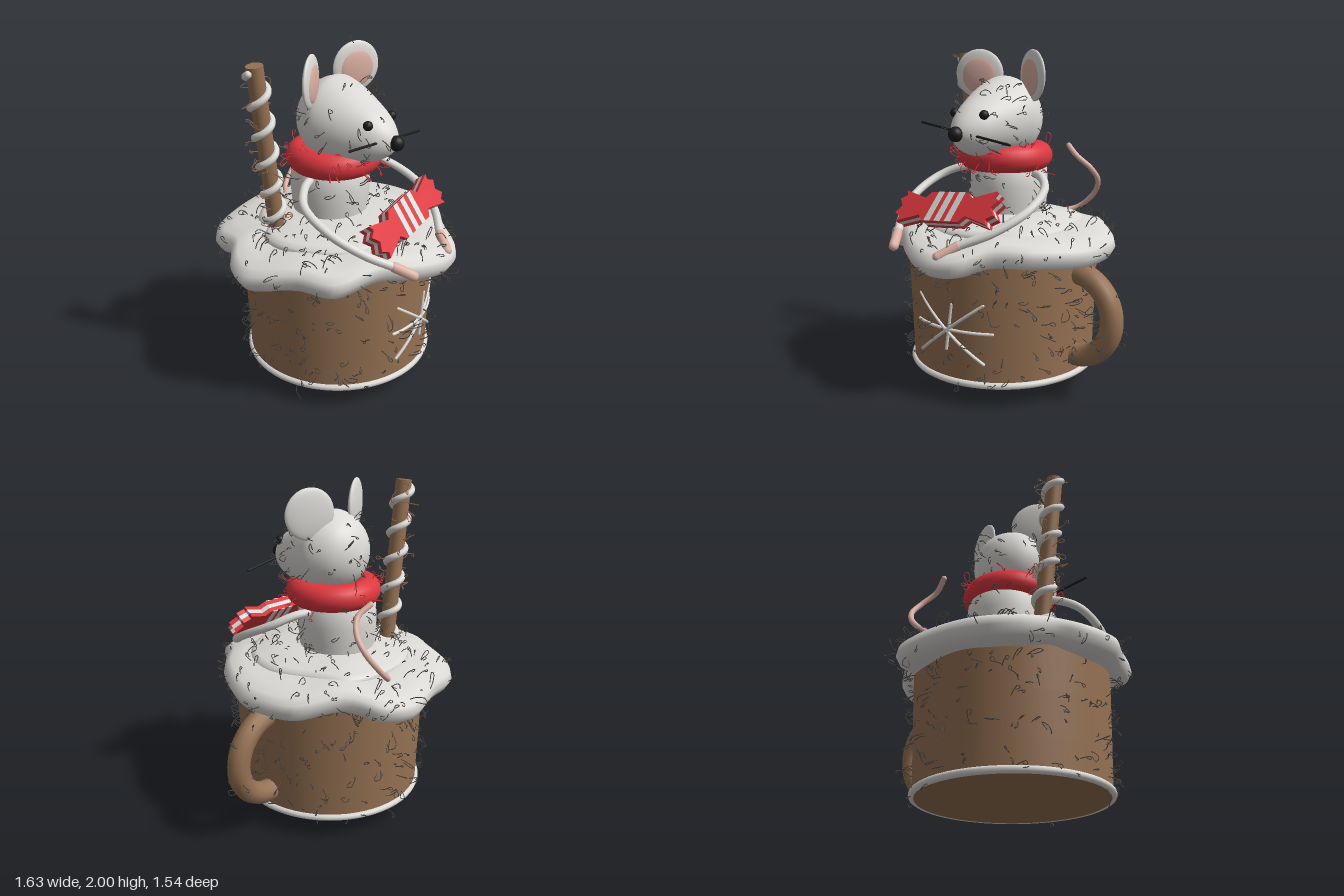
import * as THREE from 'three';
import { mergeGeometries } from 'three/addons/utils/BufferGeometryUtils.js';

const paint = (name, color) => {
  const m = new THREE.MeshStandardMaterial({ color });
  m.name = name;
  return m;
};
const V = (x, y, z) => new THREE.Vector3(x, y, z);
const CX = -0.1; // axis of the cup and the mouse

export function createModel() {
  const white = paint('wool white', 0xdcdad6);
  const brown = paint('cocoa brown', 0x967253);
  const red = paint('red', 0xdd383f);
  const pink = paint('pink', 0xdcb0a2);
  const black = paint('black', 0x1b1b1b);
  const fuzz = paint('fuzz grey', 0x4c4844);

  const root = new THREE.Group();
  root.name = 'mouseInCup';
  const add = (name, geo, mat, x = 0, y = 0, z = 0, parent = root) => {
    const m = new THREE.Mesh(geo, mat);
    m.name = name;
    m.position.set(x, y, z);
    parent.add(m);
    return m;
  };
  // tube with rounded ends through a few points
  const tube = (pts, r, seg = 40) => {
    const curve = new THREE.CatmullRomCurve3(pts.map(p => (p.isVector3 ? p : V(...p))));
    const caps = [0, 1].map(t => {
      const p = curve.getPoint(t);
      return new THREE.SphereGeometry(r, 12, 8).translate(p.x, p.y, p.z);
    });
    return mergeGeometries([new THREE.TubeGeometry(curve, seg, r, 12), ...caps]);
  };
  // wavy layer: an outline in x,z swept through [scale, y] sections, drooping where it bulges
  const layer = (outline, sections, droop) => {
    const N = 120, pos = [], idx = [];
    const ring = new THREE.CatmullRomCurve3(outline.map(([x, z]) => V(x - CX, 0, z)), true).getPoints(N).slice(0, N);
    for (const [s, y] of sections)
      for (const p of ring) pos.push(CX + p.x * s, y - droop * s * s * (p.length() - 0.68), p.z * s);
    for (let j = 0; j < sections.length - 1; j++)
      for (let i = 0; i < N; i++) {
        const a = j * N + i, b = j * N + (i + 1) % N;
        idx.push(a, a + N, b, b, a + N, b + N);
      }
    const g = new THREE.BufferGeometry();
    g.setAttribute('position', new THREE.Float32BufferAttribute(pos, 3));
    g.setIndex(idx);
    g.computeVertexNormals();
    return g;
  };

  // cup
  const cupProfile = [[0, 0.115], [0.545, 0.115], [0.545, 0.115], [0.55, 0.3], [0.558, 0.55], [0.567, 0.86]];
  const cup = add('cup', new THREE.LatheGeometry(cupProfile.map(p => new THREE.Vector2(...p)), 64), brown, CX);
  add('baseRing', new THREE.TorusGeometry(0.545, 0.02, 10, 64).rotateX(Math.PI / 2), white, CX, 0.132);
  const handlePts = [];
  for (let i = 0; i <= 12; i++) {
    const a = -Math.PI / 2 + Math.PI * i / 12;
    handlePts.push([0.44 + 0.25 * Math.cos(a), 0.49 + 0.245 * Math.sin(a), 0]);
  }
  const handle = add('handle', tube(handlePts, 0.065), brown);

  // snowflake stitches following the cup wall
  const stitches = [[-0.256, 0.6, 0.177, 0.26], [-0.256, 0.26, 0.177, 0.6], [-0.28, 0.437, 0.22, 0.437], [0, 0.587, -0.04, 0.32]];
  for (const [x0, y0, x1, y1] of stitches) {
    const pts = [];
    for (let i = 0; i <= 8; i++) {
      const x = x0 + (x1 - x0) * i / 8, y = y0 + (y1 - y0) * i / 8;
      pts.push([x, y, Math.sqrt(0.557 ** 2 - (x - CX) ** 2)]);
    }
    add('snowflakeStitch', tube(pts, 0.009, 16), white);
  }

  // cream
  const creamLow = add('lowerCream', layer(
    [[0.04, -0.72], [0.2, -0.64], [0.32, -0.456], [0.525, -0.27], [0.58, -0.09], [0.57, 0.11], [0.43, 0.365],
      [0.25, 0.525], [0.137, 0.67], [-0.02, 0.717], [-0.23, 0.66], [-0.43, 0.525], [-0.66, 0.4], [-0.73, 0.205],
      [-0.835, -0.07], [-0.775, -0.23], [-0.66, -0.34], [-0.59, -0.525], [-0.456, -0.64], [-0.205, -0.685]],
    [[0.7, 0.8], [0.88, 0.785], [0.96, 0.8], [1, 0.85], [0.985, 0.895], [0.93, 0.925], [0.82, 0.945], [0.6, 0.965], [0, 0.97]], 0.6), white);
  const creamTop = add('upperCream', layer(
    [[0.365, 0.07], [0.3, 0.27], [0.12, 0.42], [-0.12, 0.47], [-0.35, 0.4], [-0.53, 0.22], [-0.6, 0], [-0.56, -0.17],
      [-0.46, -0.24], [-0.4, -0.36], [-0.24, -0.45], [0, -0.46], [0.22, -0.38], [0.3, -0.18]],
    [[0.97, 0.92], [1, 0.945], [0.98, 0.97], [0.92, 0.988], [0.75, 1.0], [0.6, 1.025], [0, 1.03]], 0), white);

  // body and scarf
  const bodyProfile = [[0.215, 0.98], [0.225, 1.08], [0.232, 1.18], [0.225, 1.27], [0.18, 1.36], [0, 1.4]];
  const body = add('body', new THREE.LatheGeometry(bodyProfile.map(p => new THREE.Vector2(...p)), 40), white, CX, 0, -0.055);
  const scarf = add('scarf', new THREE.TorusGeometry(0.196, 0.08, 20, 48).rotateX(Math.PI / 2), red, CX, 1.348, -0.025);

  // head: teardrop along z with the snout sinking toward the tip
  const headProfile = new THREE.SplineCurve([[0, -0.228], [0.1, -0.205], [0.185, -0.14], [0.235, -0.04], [0.235, 0.03],
    [0.207, 0.13], [0.165, 0.23], [0.128, 0.3], [0.08, 0.355], [0.035, 0.384], [0, 0.39]].map(p => new THREE.Vector2(...p)));
  const headPts = headProfile.getPoints(40).map(p => new THREE.Vector2(Math.max(0, p.x), p.y));
  const headGeo = new THREE.LatheGeometry(headPts, 40).rotateX(Math.PI / 2);
  const hp = headGeo.attributes.position;
  for (let i = 0; i < hp.count; i++) hp.setY(i, hp.getY(i) - 0.18 * Math.max(0, hp.getZ(i)));
  const head = add('head', headGeo, white, CX, 1.57, 0);
  add('nose', new THREE.SphereGeometry(0.043, 20, 14), black, CX, 1.503, 0.395);
  add('whiskers', tube([[-0.435, 1.545, 0.33], [0.235, 1.465, 0.33]], 0.007, 2), black);
  for (const s of [-1, 1]) {
    add('eye', new THREE.SphereGeometry(0.027, 16, 12), black, CX + s * 0.112, 1.608, 0.285);
    const ear = new THREE.Group();
    ear.name = 'ear';
    ear.position.set(CX + s * 0.203, 1.815, -0.022);
    ear.rotation.y = -s * 0.42;
    add('earShell', new THREE.SphereGeometry(1, 28, 18).scale(0.148, 0.145, 0.026), white, 0, 0, 0, ear);
    add('innerEar', new THREE.SphereGeometry(1, 28, 18).scale(0.108, 0.108, 0.021), pink, 0, -0.008, 0.012, ear);
    root.add(ear);
  }

  // arms and paws
  const arms = [
    [[-0.28, 1.26, -0.04], [-0.42, 1.25, 0.015], [-0.525, 1.2, 0.1], [-0.55, 1.11, 0.28], [-0.48, 1.01, 0.46], [-0.385, 0.94, 0.585], [-0.325, 0.888, 0.67]],
    [[0.08, 1.26, -0.04], [0.2, 1.25, 0.015], [0.29, 1.2, 0.1], [0.32, 1.11, 0.28], [0.23, 1.01, 0.46], [0.09, 0.94, 0.585], [0.025, 0.888, 0.67]]];
  for (const a of arms) {
    add('arm', tube(a.slice(0, 6), 0.024), white);
    add('paw', tube(a.slice(5), 0.028, 4), pink);
  }

  // tail
  add('tail', tube([[-0.02, 0.95, -0.47], [0.06, 0.975, -0.54], [0.17, 1.07, -0.555], [0.23, 1.17, -0.51],
    [0.22, 1.25, -0.445], [0.15, 1.325, -0.395], [0.07, 1.38, -0.42]], 0.016), pink);

  // wrapped candy: red, white and red layers with diagonal stripes
  const candy = new THREE.Group();
  candy.name = 'candy';
  candy.position.set(CX, 1.09, 0.46);
  candy.rotation.set(-0.68, 0, 0.13);
  const half = [[0.13, -0.092], [0.165, -0.055], [0.325, -0.1], [0.31, -0.07], [0.355, -0.045], [0.32, 0],
    [0.355, 0.045], [0.31, 0.07], [0.325, 0.1], [0.165, 0.055], [0.13, 0.092]];
  const flat = pts => new THREE.Shape(pts.map(p => new THREE.Vector2(...p)));
  const candyShape = flat([...half, ...half.map(([x, y]) => [-x, -y])]);
  [red, white, red].forEach((m, i) =>
    add('candyLayer', new THREE.ExtrudeGeometry(candyShape, { depth: 0.026, bevelEnabled: false }), m, 0, 0, -0.039 + i * 0.026, candy));
  for (const x of [-0.075, 0, 0.075]) {
    const stripe = flat([[x - 0.037, -0.092], [x + 0.003, -0.092], [x + 0.037, 0.092], [x - 0.003, 0.092]]);
    for (const z of [0.038, -0.043])
      add('candyStripe', new THREE.ExtrudeGeometry(stripe, { depth: 0.005, bevelEnabled: false }), white, 0, 0, z, candy);
  }
  root.add(candy);

  // spice stick with a spiral of cream
  const stickGroup = new THREE.Group();
  stickGroup.name = 'spiceStick';
  stickGroup.position.set(-0.44, 0.95, -0.175);
  stickGroup.rotation.z = 0.127;
  const stick = add('stick', new THREE.CylinderGeometry(0.047, 0.047, 0.99, 20), brown, 0, 0.495, 0, stickGroup);
  const helix = [];
  for (let i = 0; i <= 80; i++) {
    const a = Math.PI - Math.PI * 2 * 5.2 * (1 - i / 80);
    helix.push([0.052 * Math.cos(a), 0.06 + 0.9 * i / 80, -0.052 * Math.sin(a)]);
  }
  add('stickSpiral', tube(helix, 0.02, 160), white, 0, 0, 0, stickGroup);
  root.add(stickGroup);

  // loose fibres scattered evenly over a mesh, each a small curl
  let seed = 7;
  const rnd = () => (seed = (seed * 16807) % 2147483647) / 2147483647;
  const strand = pts => new THREE.TubeGeometry(new THREE.CatmullRomCurve3(pts), 9, 0.0028, 3);
  const fibres = (mesh, count, mat, long = 1) => {
    root.updateMatrixWorld(true);
    const g = mesh.geometry.clone().applyMatrix4(mesh.matrixWorld).toNonIndexed();
    const p = g.attributes.position, tri = new THREE.Triangle(), n = V(0, 0, 0), out = [];
    const load = t => tri.setFromAttributeAndIndices(p, t * 3, t * 3 + 1, t * 3 + 2);
    let max = 0;
    for (let t = 0; t < p.count / 3; t++) { load(t); max = Math.max(max, tri.getArea()); }
    while (out.length < count) {
      load(Math.floor(rnd() * p.count / 3));
      if (tri.getArea() < rnd() * max) continue;
      tri.getNormal(n);
      if (n.y < -0.9) continue;
      const u = Math.sqrt(rnd()), w = rnd();
      const at = V(0, 0, 0).addScaledVector(tri.a, 1 - u).addScaledVector(tri.b, u * (1 - w)).addScaledVector(tri.c, u * w);
      const side = V(rnd() - 0.5, rnd() - 0.5, rnd() - 0.5).cross(n).normalize(), other = side.clone().cross(n);
      const L = long * (0.02 + 0.04 * rnd()), curl = rnd() - 0.3;
      const to = (a, b, c) => at.clone().addScaledVector(n, a * L).addScaledVector(side, b * L).addScaledVector(other, c * L);
      out.push(strand([at, to(0.6, 0.3, 0.1), to(1.1, 0.9, 0.4), to(0.8 + curl * 0.5, 1.1 - curl, 0.7), to(0.3 + curl, 0.5, 0.3)]));
    }
    add('fibres', mergeGeometries(out), mat);
  };
  fibres(cup, 260, fuzz);
  fibres(creamLow, 170, fuzz);
  fibres(creamTop, 60, fuzz);
  fibres(body, 50, fuzz);
  fibres(head, 70, fuzz);
  fibres(handle, 20, fuzz, 0.7);
  fibres(scarf, 50, red);
  fibres(stick, 40, brown);
  // longest stray fibres at the foot and above the ear
  add('strayFibres', mergeGeometries([
    strand([V(-0.62, 0.13, 0.1), V(-0.65, 0.08, 0.11), V(-0.62, 0.003, 0.12)]),
    strand([V(0.08, 1.95, -0.02), V(0.05, 1.98, -0.02), V(0.055, 1.997, -0.03)]),
  ]), fuzz);

  return root;
}
